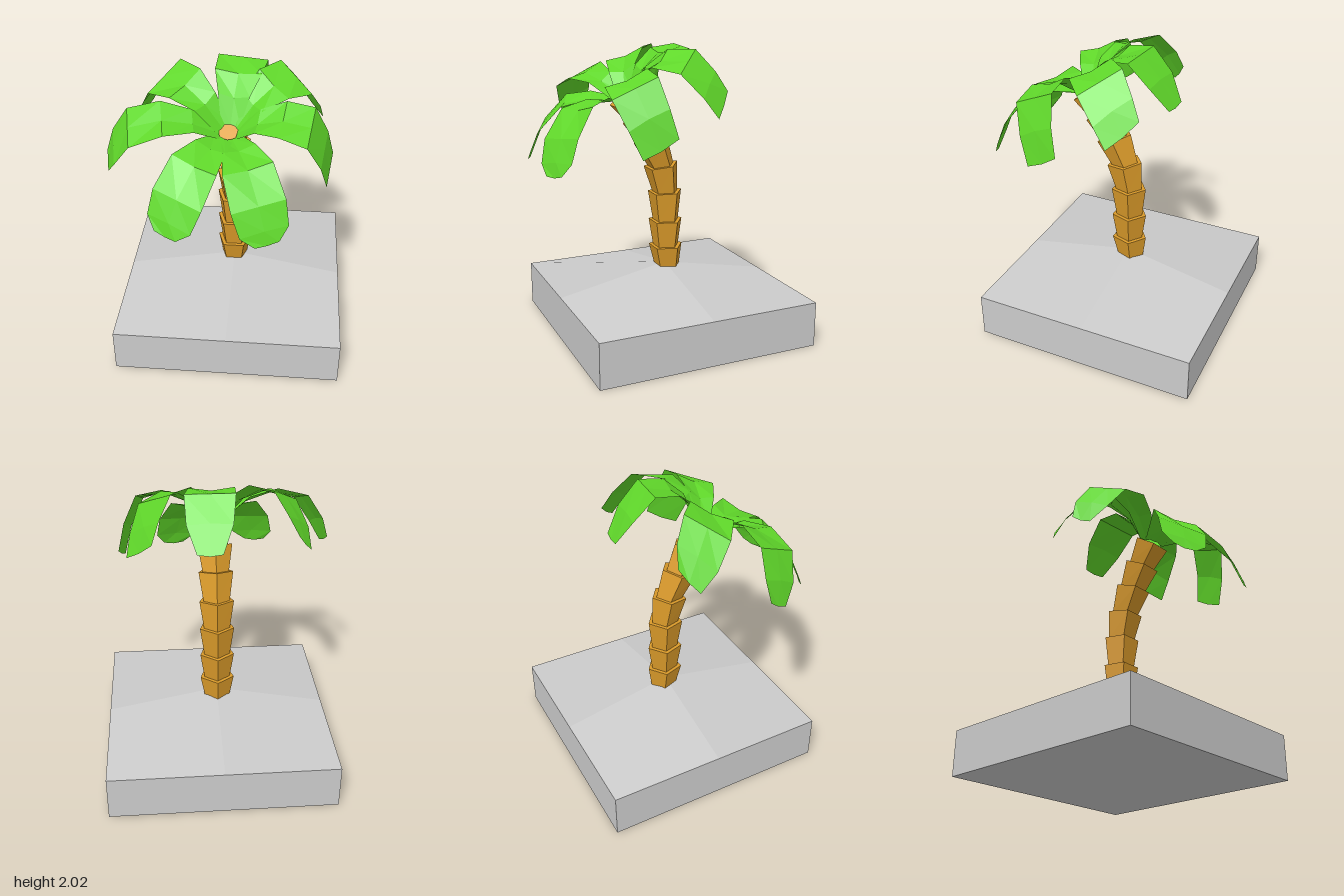
import * as THREE from 'three';

const deg = Math.PI / 180;

// Flat-shaded surface from rows of points, two triangles per cell
function gridGeometry(rows) {
  const pos = [];
  for (let i = 0; i < rows.length - 1; i++) {
    for (let j = 0; j < rows[i].length - 1; j++) {
      const a = rows[i][j], b = rows[i][j + 1], c = rows[i + 1][j + 1], d = rows[i + 1][j];
      pos.push(...a, ...d, ...c, ...a, ...c, ...b);
    }
  }
  const geo = new THREE.BufferGeometry();
  geo.setAttribute('position', new THREE.Float32BufferAttribute(pos, 3));
  geo.computeVertexNormals();
  return geo;
}

// Square plinth whose top rises gently to the foot of the trunk
function makeBase() {
  const group = new THREE.Group();
  group.name = 'base';
  const mat = new THREE.MeshStandardMaterial({ color: 0xcccccc });
  const x0 = -0.768, x1 = 0.797, z0 = -0.85, z1 = 0.72, h = 0.315;
  const cx = 0.014, cz = -0.07, peak = 0.47;

  // Block walls and underside
  const block = new THREE.Mesh(new THREE.BoxGeometry(x1 - x0, h, z1 - z0), mat);
  block.name = 'groundBlock';
  block.position.set((x0 + x1) / 2, h / 2, (z0 + z1) / 2);

  // Four mound quarters, each shaded as one facet
  const pos = [], nor = [];
  for (const sx of [-1, 1]) for (const sz of [-1, 1]) {
    const ex = sx < 0 ? x0 : x1, ez = sz < 0 ? z0 : z1;
    const centre = [cx, peak, cz], midX = [ex, h, cz], corner = [ex, h, ez], midZ = [cx, h, ez];
    const loop = sx * sz > 0 ? [midZ, corner, midX] : [midX, corner, midZ];
    pos.push(...centre, ...loop[0], ...loop[1], ...centre, ...loop[1], ...loop[2]);
    const n = new THREE.Vector3(sx * 0.1, 1, sz * 0.1).normalize();
    for (let k = 0; k < 6; k++) nor.push(n.x, n.y, n.z);
  }
  const geo = new THREE.BufferGeometry();
  geo.setAttribute('position', new THREE.Float32BufferAttribute(pos, 3));
  geo.setAttribute('normal', new THREE.Float32BufferAttribute(nor, 3));
  const mound = new THREE.Mesh(geo, mat);
  mound.name = 'groundMound';
  group.add(block, mound);
  return group;
}

// Stacked five-sided segments, flaring upward and bending forward
function makeTrunk() {
  const group = new THREE.Group();
  group.name = 'trunk';
  const mat = new THREE.MeshStandardMaterial({ color: 0xdb9b2a, flatShading: true });
  // Joint: height, depth, tilt in degrees
  const joints = [
    [0.45, -0.09, 0], [0.6, -0.08, 0], [0.79, -0.078, 0], [1.0, -0.073, 2],
    [1.193, -0.04, 8], [1.375, 0.038, 17], [1.535, 0.125, 25], [1.68, 0.225, 33],
  ];
  const v = new THREE.Vector3(), xAxis = new THREE.Vector3(1, 0, 0);
  for (let i = 0; i < joints.length - 1; i++) {
    const geo = new THREE.CylinderGeometry(0.125, 0.095, 1, 5, 1, false, Math.PI);
    const p = geo.attributes.position;
    for (let k = 0; k < p.count; k++) {
      v.fromBufferAttribute(p, k);
      const [y, z, tilt] = joints[v.y > 0 ? i + 1 : i];
      v.y = 0;
      v.applyAxisAngle(xAxis, tilt * deg);
      p.setXYZ(k, v.x + 0.012, v.y + y, v.z + z);
    }
    geo.computeVertexNormals();
    const segment = new THREE.Mesh(geo, mat);
    segment.name = 'trunkSegment' + (i + 1);
    group.add(segment);
  }
  return group;
}

// One arched leaf along +z: rises to its peak, then droops to the tip.
// A higher curl keeps the droop near the tip; twist lowers the -x edge.
function frondGeometry({ length, width, peak, droop, curl, twist, tip }) {
  // Station: fraction of length, share of peak, width share, edge lift
  const stations = [
    [0.08, 0, 0.38, 0.01], [0.28, 0.65, 0.62, 0.03], [0.52, 1, 0.92, 0.02],
    [0.79, 1.1, 1, 0], [0.93, 0.9, 0.9, -0.01], [1, 0.6, tip, 0.01],
  ];
  return gridGeometry(stations.map(([u, share, w, lift]) => {
    const fall = droop * Math.max(0, (u - 0.5) / 0.5) ** curl;
    return [-1, 0, 1].map((side) => [
      side * w * width / 2,
      share * peak - fall + lift * Math.abs(side) + side * twist * u * u / 2,
      u * length,
    ]);
  }));
}

// Seven leaves around the tilted top of the trunk
function makeCrown() {
  const crown = new THREE.Group();
  crown.name = 'crown';
  crown.position.set(0, 1.68, 0.235);
  crown.rotation.x = 20 * deg;
  const mat = new THREE.MeshStandardMaterial({
    color: 0x60d82a, flatShading: true, side: THREE.DoubleSide,
  });
  const fronds = [
    { turn: -27, length: 0.76, width: 0.35, peak: 0.085, droop: 0.26, curl: 1.6, twist: 0, tip: 0.45 },
    { turn: 22, length: 0.75, width: 0.35, peak: 0.085, droop: 0.27, curl: 1.6, twist: 0, tip: 0.45 },
    { turn: 82, length: 0.66, width: 0.32, peak: 0.18, droop: 0.34, curl: 4, twist: 0.04, tip: 0.8 },
    { turn: 131, length: 0.69, width: 0.32, peak: 0.19, droop: 0.3, curl: 3, twist: 0.09, tip: 0.8 },
    { turn: 173, length: 0.63, width: 0.33, peak: 0.195, droop: 0.32, curl: 4, twist: 0, tip: 0.5 },
    { turn: -126, length: 0.69, width: 0.32, peak: 0.19, droop: 0.28, curl: 3, twist: -0.1, tip: 0.55 },
    { turn: -80, length: 0.795, width: 0.31, peak: 0.17, droop: 0.28, curl: 3, twist: -0.03, tip: 0.5 },
  ];
  fronds.forEach((spec, i) => {
    const frond = new THREE.Mesh(frondGeometry(spec), mat);
    frond.name = 'frond' + (i + 1);
    frond.rotation.y = spec.turn * deg;
    crown.add(frond);
  });
  return crown;
}

export function createModel() {
  const model = new THREE.Group();
  model.name = 'palmTree';
  model.add(makeBase(), makeTrunk(), makeCrown());
  return model;
}
